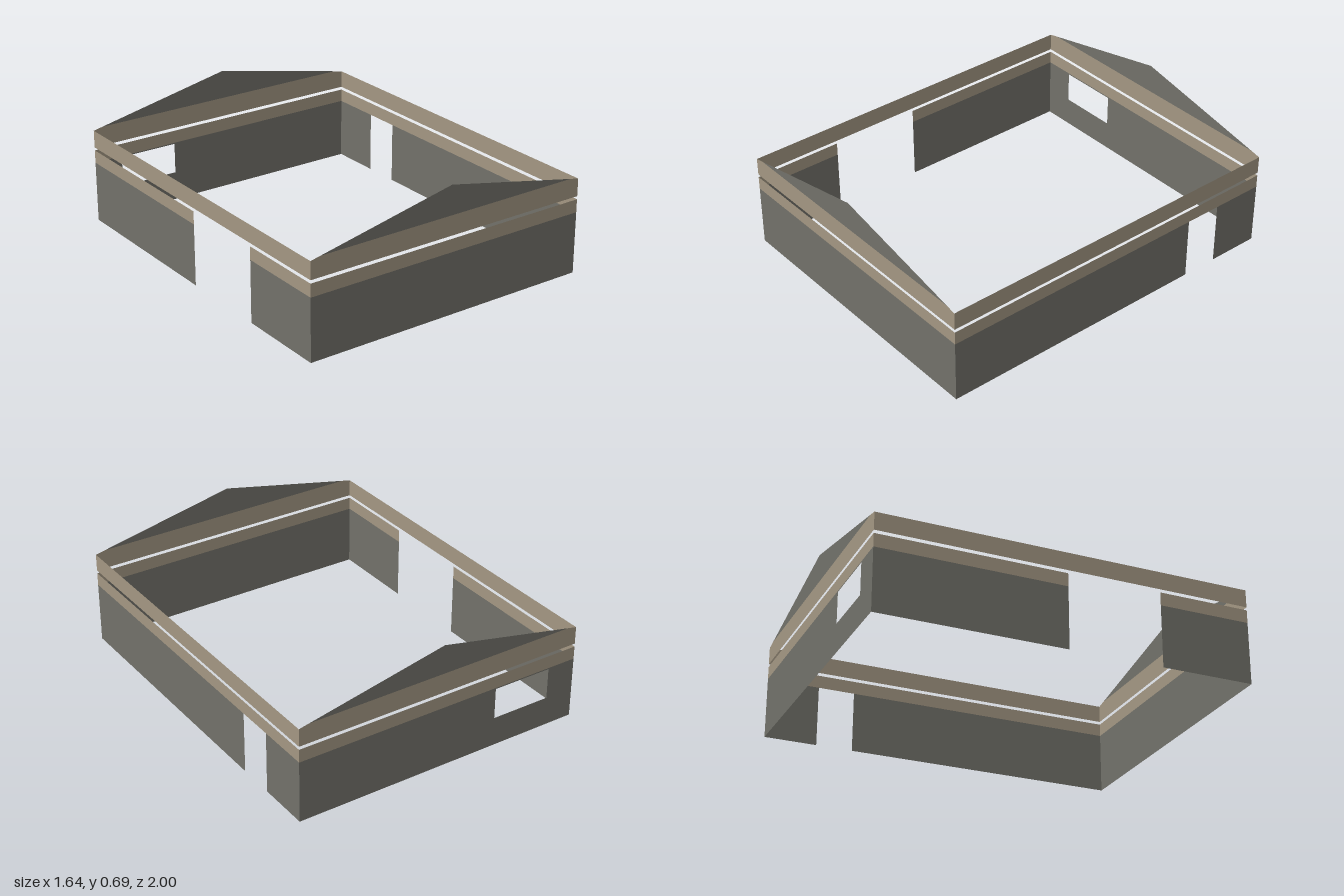
import * as THREE from 'three';

const W = 0.82, D = 1;            // half width, half depth
const BASE = 0.336, SILL = 0.407; // plaster top, lower wall top
const EAVE = 0.424, TOP = 0.52;   // upper band
const TRIM = 0.531, APEX = 0.69;  // gable trim line and peak

export function createModel() {
  const model = new THREE.Group();
  const wallGrey = new THREE.MeshStandardMaterial({ color: 0x72716a, side: THREE.DoubleSide });
  wallGrey.name = 'wall grey';
  const trimTan = new THREE.MeshStandardMaterial({ color: 0xa39783, side: THREE.DoubleSide });
  trimTan.name = 'trim tan';

  const outline = (points) => points.map(([x, y]) => new THREE.Vector2(x, y));
  const rect = (x0, x1, y0, y1) => [[x0, y0], [x1, y0], [x1, y1], [x0, y1]];

  // Thin sheet drawn as an outline with optional openings
  function sheet(parent, name, points, material, holes = []) {
    const shape = new THREE.Shape(outline(points));
    for (const h of holes) shape.holes.push(new THREE.Path(outline(h)));
    const mesh = new THREE.Mesh(new THREE.ShapeGeometry(shape), material);
    mesh.name = name;
    parent.add(mesh);
  }

  // Front and back walls with gables; x runs as in the model
  const trimX = W * (APEX - TRIM) / (APEX - TOP);
  for (const [name, z, holes] of [
    ['front', D, []],
    ['back', -D, [rect(-0.658, -0.325, 0.16, 0.33)]],
  ]) {
    const wall = new THREE.Group();
    wall.name = name + 'Wall';
    wall.position.z = z;
    sheet(wall, name + 'WallBase', rect(-W, W, 0, BASE), wallGrey, holes);
    sheet(wall, name + 'WallTrim', rect(-W, W, BASE, SILL), trimTan);
    sheet(wall, name + 'GableTrim',
      [[-W, EAVE], [W, EAVE], [W, TOP], [trimX, TRIM], [-trimX, TRIM], [-W, TOP]], trimTan);
    sheet(wall, name + 'Gable', [[-trimX, TRIM], [trimX, TRIM], [0, APEX]], wallGrey);
    model.add(wall);
  }

  // Side walls; the sheet's x axis is turned to run along +z
  function sideWall(name, x, bases, trims) {
    const wall = new THREE.Group();
    wall.name = name + 'Wall';
    wall.position.x = x;
    wall.rotation.y = -Math.PI / 2;
    for (const [a, b] of bases) sheet(wall, name + 'WallBase', rect(a, b, 0, BASE), wallGrey);
    for (const [a, b] of trims) sheet(wall, name + 'WallTrim', rect(a, b, BASE, SILL), trimTan);
    sheet(wall, name + 'EaveBand', rect(-D, D, EAVE, TOP), trimTan);
    model.add(wall);
  }
  // Doorway with a lintel on one side, a full-height opening on the other
  sideWall('left', W, [[-D, -0.712], [-0.51, D]], [[-D, D]]);
  sideWall('right', -W, [[-D, 0], [0.505, D]], [[-D, 0], [0.505, D]]);

  return model;
}
